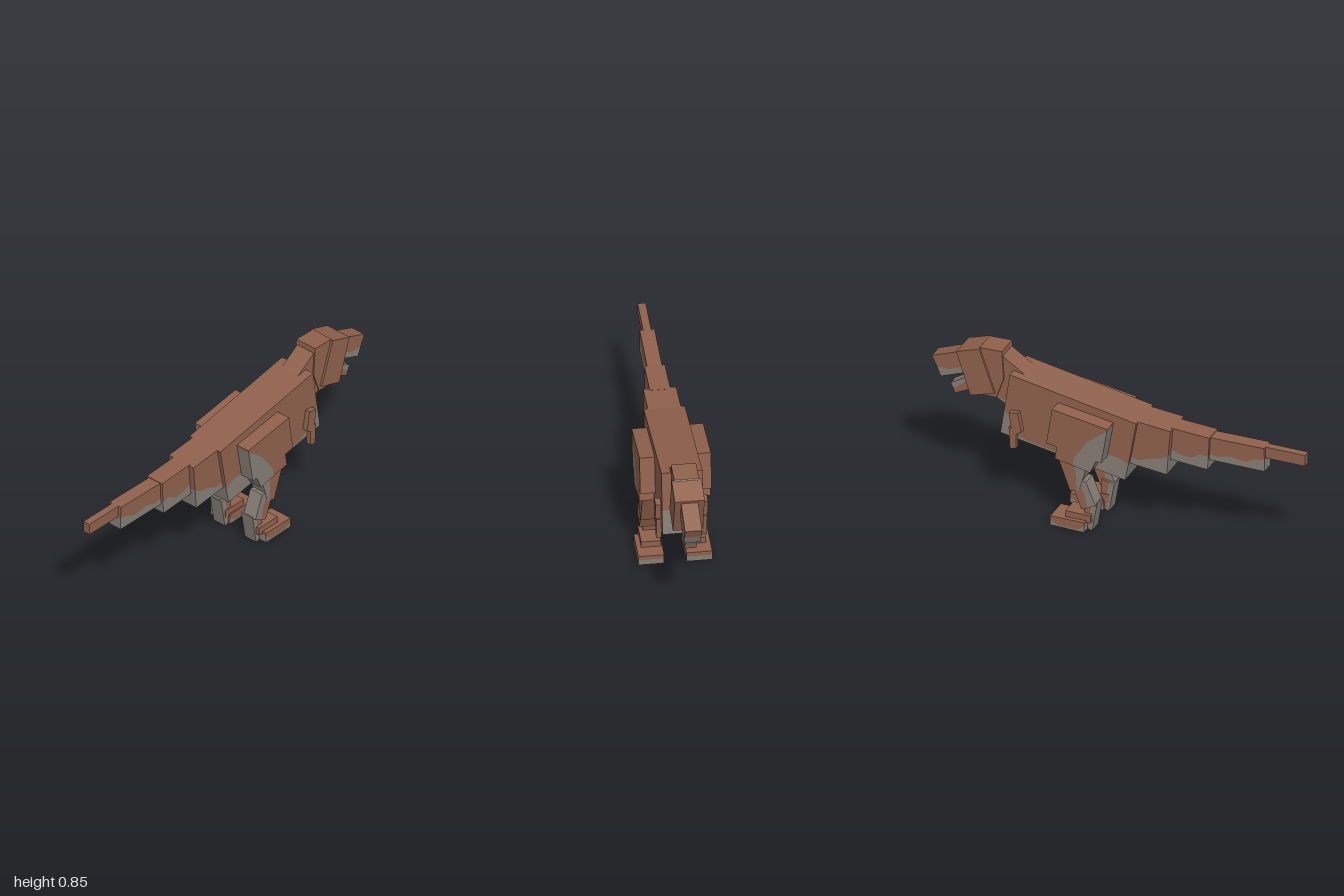
import * as THREE from 'three';

const brown = new THREE.MeshStandardMaterial({ color: 0x8f614c });
brown.name = 'brown hide';
const grey = new THREE.MeshStandardMaterial({ color: 0x857e76 });
grey.name = 'grey underside';

// Side profile in x/y, given thickness from z0 to z1
function slab(parent, name, points, z0, z1, material) {
  const shape = new THREE.Shape(points.map(([x, y]) => new THREE.Vector2(x, y)));
  const geometry = new THREE.ExtrudeGeometry(shape, { depth: z1 - z0, bevelEnabled: false });
  geometry.translate(0, 0, z0);
  const mesh = new THREE.Mesh(geometry, material);
  mesh.name = name;
  parent.add(mesh);
}

// Profile split along a cut line: hide on one side, underside on the other.
// All three lists run in the same direction.
function twoTone(parent, name, hide, cut, under, z0, z1) {
  const part = new THREE.Group();
  part.name = name;
  slab(part, name + 'Hide', [...hide, ...[...cut].reverse()], z0, z1, brown);
  slab(part, name + 'Underside', [...cut, ...[...under].reverse()], z0, z1, grey);
  parent.add(part);
}

export function createModel() {
  const model = new THREE.Group();
  model.name = 'dinosaur';

  // Body
  twoTone(model, 'body',
    [[-0.13, 0.64], [0.55, 0.757]],
    [[-0.088, 0.40], [-0.03, 0.425], [0.03, 0.43], [0.12, 0.40], [0.3, 0.378],
      [0.46, 0.405], [0.52, 0.435], [0.55, 0.52], [0.58, 0.55]],
    [[-0.07, 0.305], [0.6, 0.417]], -0.102, 0.102);

  // Tail, from hips to tip
  twoTone(model, 'tailBase',
    [[-0.305, 0.627], [-0.1, 0.643]],
    [[-0.293, 0.485], [-0.25, 0.46], [-0.2, 0.45], [-0.14, 0.425], [-0.08, 0.43]],
    [[-0.285, 0.377], [-0.07, 0.397]], -0.082, 0.082);
  twoTone(model, 'tailMiddle',
    [[-0.5, 0.619], [-0.29, 0.629]],
    [[-0.495, 0.51], [-0.45, 0.515], [-0.4, 0.485], [-0.35, 0.49], [-0.285, 0.51]],
    [[-0.49, 0.438], [-0.28, 0.45]], -0.051, 0.051);
  twoTone(model, 'tailOuter',
    [[-0.788, 0.622], [-0.48, 0.615]],
    [[-0.79, 0.556], [-0.74, 0.55], [-0.69, 0.525], [-0.6, 0.533], [-0.54, 0.515], [-0.48, 0.525]],
    [[-0.79, 0.492], [-0.48, 0.488]], -0.037, 0.037);
  slab(model, 'tailTip', [[-1, 0.624], [-0.78, 0.622], [-0.78, 0.56], [-1, 0.563]], -0.02, 0.02, brown);

  // Neck and head
  twoTone(model, 'neck',
    [[0.48, 0.74], [0.61, 0.825], [0.66, 0.8], [0.66, 0.6]],
    [[0.53, 0.58], [0.6, 0.575], [0.65, 0.595]],
    [[0.53, 0.535], [0.575, 0.545], [0.645, 0.585]], -0.055, 0.055);
  slab(model, 'headBack',
    [[0.61, 0.853], [0.73, 0.848], [0.8, 0.75], [0.76, 0.583], [0.64, 0.585], [0.6, 0.7]],
    -0.062, 0.062, brown);
  slab(model, 'head',
    [[0.727, 0.845], [0.85, 0.803], [0.775, 0.571], [0.645, 0.612]], -0.074, 0.074, brown);
  twoTone(model, 'snout',
    [[0.83, 0.793], [0.995, 0.728]],
    [[0.8, 0.715], [0.85, 0.695], [0.9, 0.672], [0.968, 0.672]],
    [[0.79, 0.683], [0.947, 0.622]], -0.042, 0.042);
  twoTone(model, 'lowerJaw',
    [[0.74, 0.605], [0.878, 0.535]],
    [[0.77, 0.645], [0.83, 0.605], [0.885, 0.56]],
    [[0.785, 0.662], [0.9, 0.588]], -0.029, 0.029);

  // Limbs, mirrored across z
  for (const side of [1, -1]) {
    const word = side > 0 ? 'front' : 'back';
    const span = (a, b) => (side > 0 ? [a, b] : [-b, -a]);

    const arm = new THREE.Group();
    arm.name = word + 'SideArm';
    slab(arm, 'upperArm', [[0.495, 0.566], [0.542, 0.558], [0.525, 0.43], [0.475, 0.46]],
      ...span(0.09, 0.13), brown);
    slab(arm, 'forearm', [[0.505, 0.46], [0.545, 0.47], [0.538, 0.352], [0.505, 0.36]],
      ...span(0.1, 0.126), brown);
    model.add(arm);

    const leg = new THREE.Group();
    leg.name = word + 'SideLeg';
    twoTone(leg, 'thigh',
      [[-0.008, 0.618], [0.29, 0.662], [0.32, 0.463], [0.265, 0.455], [0.275, 0.386]],
      [[-0.006, 0.605], [0.05, 0.565], [0.1, 0.52], [0.14, 0.46], [0.17, 0.42], [0.18, 0.37]],
      [[0.025, 0.42], [0.055, 0.42], [0.085, 0.35]], ...span(0.09, 0.177));
    twoTone(leg, 'upperShin',
      [[0.27, 0.4], [0.2, 0.21]],
      [[0.18, 0.4], [0.17, 0.32], [0.165, 0.222]],
      [[0.1, 0.4], [0.15, 0.23]], ...span(0.077, 0.16));
    twoTone(leg, 'lowerShin',
      [[0.2, 0.27], [0.14, 0.12]],
      [[0.16, 0.28], [0.12, 0.2], [0.11, 0.132]],
      [[0.115, 0.28], [0.065, 0.155]], ...span(0.079, 0.158));
    twoTone(leg, 'ankle',
      [[0.13, 0.17], [0.135, 0.13], [0.12, 0.005]],
      [[0.09, 0.165], [0.105, 0.08], [0.105, 0.002]],
      [[0.063, 0.16], [0.09, 0]], ...span(0.066, 0.14));
    slab(leg, 'instep', [[0.09, 0.092], [0.225, 0.092], [0.225, 0.05], [0.09, 0.05]],
      ...span(0.062, 0.16), brown);
    twoTone(leg, 'foot',
      [[0.115, 0.06], [0.296, 0.058]],
      [[0.115, 0.04], [0.15, 0.014], [0.25, 0.012], [0.296, 0.035]],
      [[0.115, 0.004], [0.296, 0.006]], ...span(0.055, 0.183));
    model.add(leg);
  }
  return model;
}
